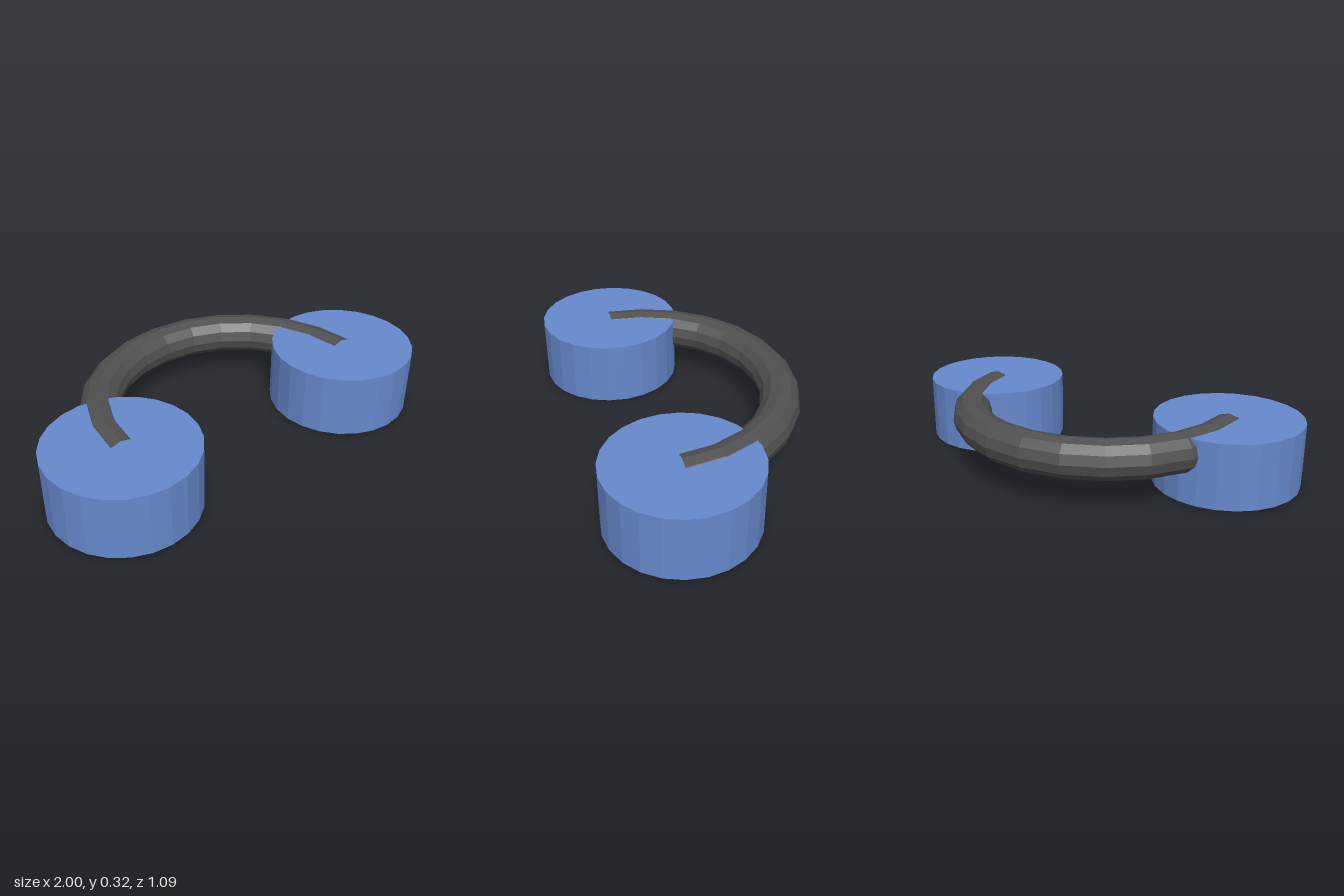
import * as THREE from 'three';

export function createModel() {
  const model = new THREE.Group();
  model.name = 'headphones';

  const blue = new THREE.MeshStandardMaterial({ color: 0x6688cc, flatShading: true });
  const dark = new THREE.MeshStandardMaterial({
    color: 0x505050, flatShading: true, side: THREE.DoubleSide,
  });

  const spread = 0.654; // band radius, also the distance of each cup from the middle
  const cupHeight = 0.308;
  const offsetZ = 0.2;

  // Ear cups: two upright drums
  const cupGeometry = new THREE.CylinderGeometry(0.346, 0.346, cupHeight, 24);
  for (const [name, side] of [['leftCup', 1], ['rightCup', -1]]) {
    const cup = new THREE.Mesh(cupGeometry, blue);
    cup.name = name;
    cup.position.set(side * spread, cupHeight / 2, offsetZ);
    model.add(cup);
  }

  // Headband: half ring lying flat, arching to the back, its ends sunk into the cups
  const bandGeometry = new THREE.TorusGeometry(spread, 0.0923, 12, 12, Math.PI);
  bandGeometry.rotateX(-Math.PI / 2);
  const band = new THREE.Mesh(bandGeometry, dark);
  band.name = 'headband';
  band.position.set(0, 0.231, offsetZ);
  model.add(band);

  return model;
}
